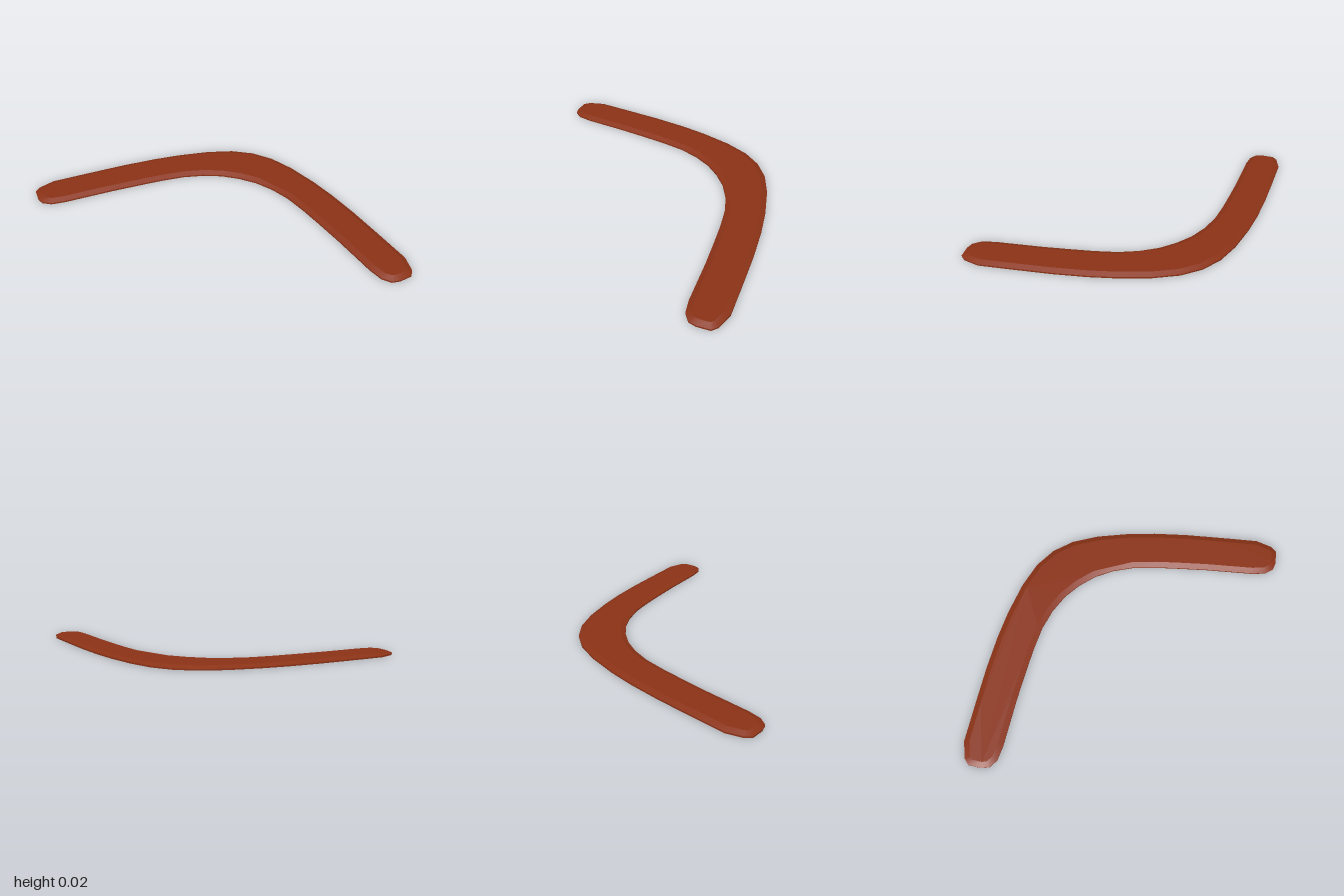
import * as THREE from 'three';
import { toCreasedNormals } from 'three/addons/utils/BufferGeometryUtils.js';

// Left half of the outline as [x, z], from the outer bend round the tip to the inner bend
const half = [
  [0, -0.395], [0.12, -0.378], [0.25, -0.325], [0.4, -0.238], [0.52, -0.155], [0.66, -0.045],
  [0.8, 0.075], [0.955, 0.21], [0.998, 0.285], [1, 0.322], [0.955, 0.372], [0.92, 0.392],
  [0.87, 0.385], [0.81, 0.345], [0.62, 0.183], [0.5, 0.087], [0.405, 0.013], [0.3, -0.06],
  [0.2, -0.108], [0.1, -0.137], [0, -0.145],
];

// Moves every corner inwards so that all edges shift by the same distance
function inset(points, distance) {
  const n = points.length;
  return points.map((p, i) => {
    const before = p.clone().sub(points[(i + n - 1) % n]).normalize();
    const after = points[(i + 1) % n].clone().sub(p).normalize();
    const n1 = new THREE.Vector2(-before.y, before.x);
    const n2 = new THREE.Vector2(-after.y, after.x);
    const miter = n1.clone().add(n2).normalize();
    return p.clone().addScaledVector(miter, distance / miter.dot(n1));
  });
}

function bladeGeometry() {
  const mirrored = half.slice(1, -1).reverse().map(([x, z]) => [-x, z]);
  const outline = [...half, ...mirrored].map(([x, z]) => new THREE.Vector2(x, z));
  const rings = [
    { points: outline, y: 0 },
    { points: outline, y: 0.008 },
    { points: inset(outline, 0.028), y: 0.02 },
  ];
  const positions = [];
  const add = (ring, i) => positions.push(ring.points[i].x, ring.y, ring.points[i].y);

  // Upright rim, then the sloping bevel
  for (let r = 0; r < 2; r++) {
    const low = rings[r], high = rings[r + 1];
    for (let i = 0; i < outline.length; i++) {
      const j = (i + 1) % outline.length;
      add(low, i); add(high, i); add(low, j);
      add(low, j); add(high, i); add(high, j);
    }
  }

  // Flat underside and flat top
  for (const [a, b, c] of THREE.ShapeUtils.triangulateShape(outline, [])) {
    add(rings[0], a); add(rings[0], b); add(rings[0], c);
    add(rings[2], a); add(rings[2], c); add(rings[2], b);
  }

  const geometry = new THREE.BufferGeometry();
  geometry.setAttribute('position', new THREE.Float32BufferAttribute(positions, 3));
  return toCreasedNormals(geometry, 0.35);
}

export function createModel() {
  const group = new THREE.Group();
  group.name = 'boomerang';
  const wood = new THREE.MeshStandardMaterial({ color: 0x8a3216 });
  const blade = new THREE.Mesh(bladeGeometry(), wood);
  blade.name = 'blade';
  group.add(blade);
  return group;
}
